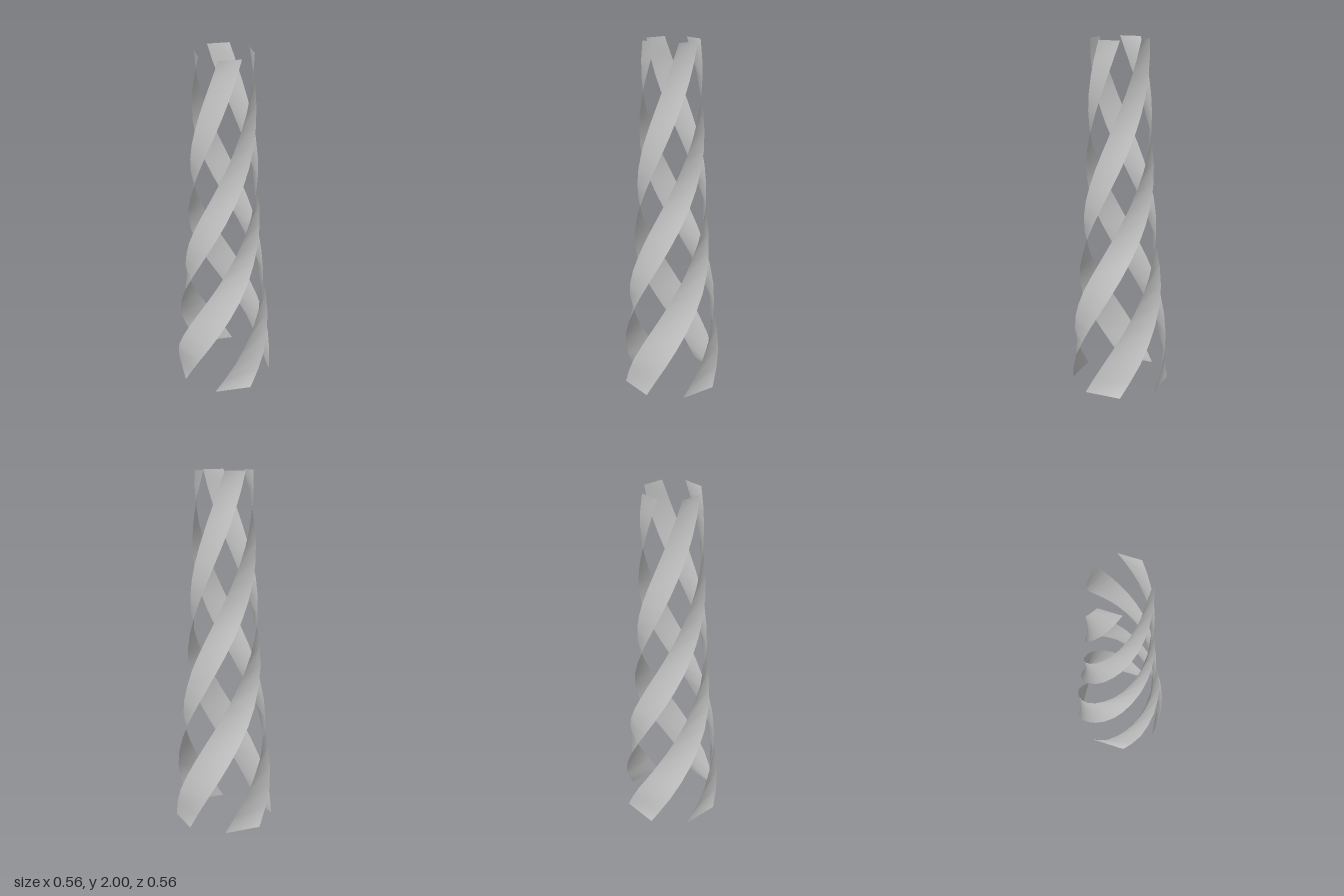
import * as THREE from 'three';

// Tower radius at eleven evenly spaced heights, with one extra level between each pair
const RADII = [0.28, 0.278, 0.261, 0.242, 0.218, 0.205, 0.193, 0.185, 0.176, 0.168, 0.16];
const HEIGHT = 2;
const ROWS = 20;
const RIBBONS = 4;
const WIDTH = Math.PI / 4; // angle spanned by one ribbon

// Three quarters of a turn in total, easing slightly at both ends
const twist = (y) => THREE.MathUtils.degToRad(135 * y - 4 * Math.sin(Math.PI * y));

// One helical band: two edge points per level, folded inward along the long diagonals
function ribbonGeometry() {
  const positions = [];
  const indices = [];
  for (let i = 0; i <= ROWS; i++) {
    const y = (HEIGHT * i) / ROWS;
    const r = (RADII[Math.floor(i / 2)] + RADII[Math.ceil(i / 2)]) / 2;
    for (const a of [twist(y) - WIDTH, twist(y)]) {
      positions.push(r * Math.sin(a), y, r * Math.cos(a));
    }
    if (i < ROWS) {
      const k = 2 * i;
      indices.push(k, k + 1, k + 3, k, k + 3, k + 2);
    }
  }
  const geometry = new THREE.BufferGeometry();
  geometry.setAttribute('position', new THREE.Float32BufferAttribute(positions, 3));
  geometry.setIndex(indices);
  geometry.computeVertexNormals();
  return geometry;
}

export function createModel() {
  const model = new THREE.Group();
  model.name = 'twistedTower';
  const material = new THREE.MeshStandardMaterial({ color: 0xcccccc, side: THREE.DoubleSide });
  const geometry = ribbonGeometry();

  // Identical ribbons spaced evenly around the axis
  for (let i = 0; i < RIBBONS; i++) {
    const ribbon = new THREE.Mesh(geometry, material);
    ribbon.name = `spiralRibbon${i + 1}`;
    ribbon.rotation.y = (i * 2 * Math.PI) / RIBBONS;
    model.add(ribbon);
  }
  return model;
}
